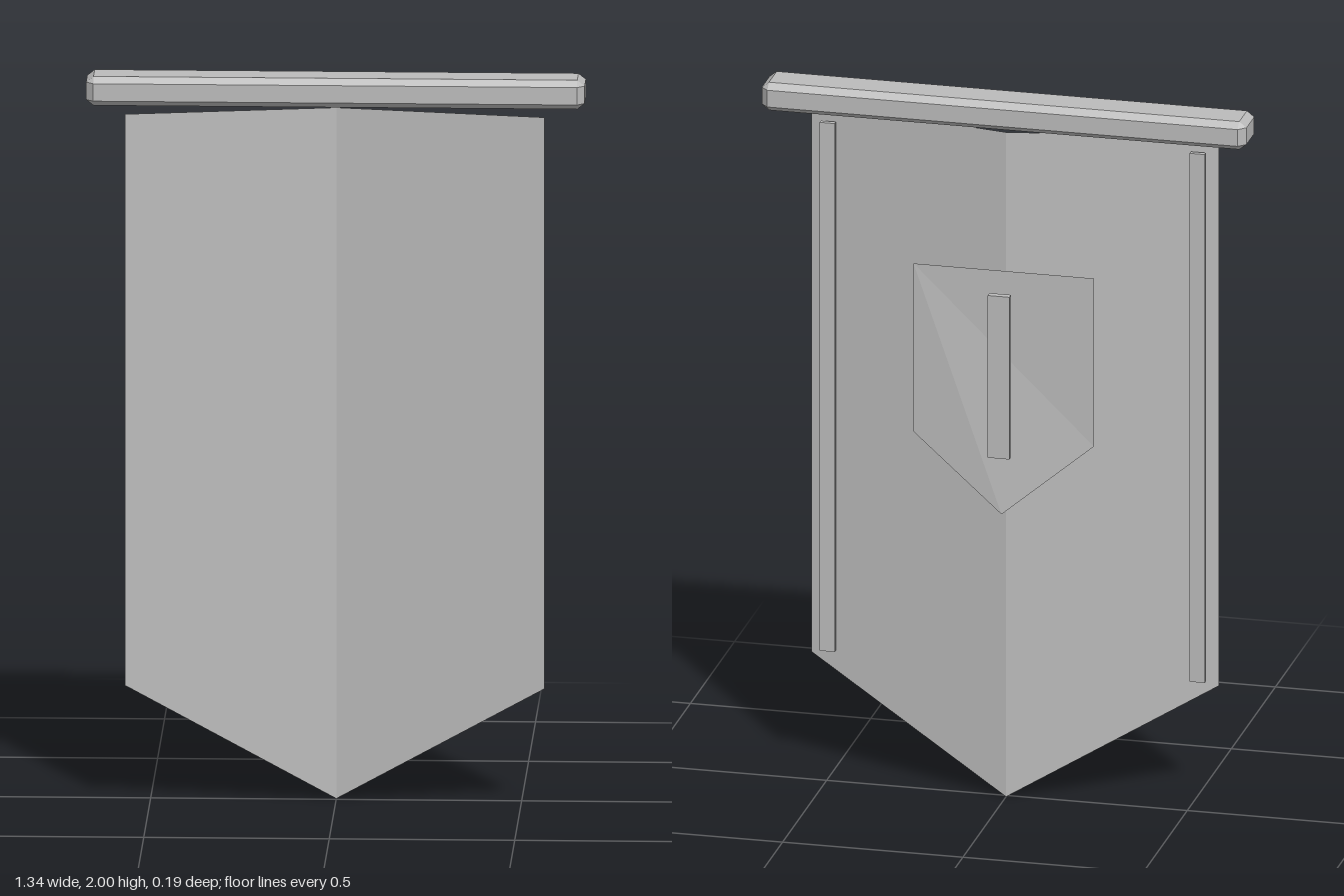
import * as THREE from 'three';
import { ConvexGeometry } from 'three/addons/geometries/ConvexGeometry.js';

const grey = new THREE.MeshStandardMaterial({ color: 0xbbbbbb, side: THREE.DoubleSide });
grey.name = 'plain grey';

function add(group, name, geometry, x = 0, y = 0, z = 0) {
  const mesh = new THREE.Mesh(geometry, grey);
  mesh.name = name;
  mesh.position.set(x, y, z);
  group.add(mesh);
}

// Flat-shaded sheet from a list of triangles, each three [x, y, z] corners
function sheet(triangles) {
  const g = new THREE.BufferGeometry();
  g.setAttribute('position', new THREE.Float32BufferAttribute(triangles.flat(2), 3));
  g.computeVertexNormals();
  return g;
}

// Box with every edge and corner chamfered
function chamferedBox(w, h, d, bx, by, bz) {
  const points = [];
  for (const sx of [-1, 1]) for (const sy of [-1, 1]) for (const sz of [-1, 1]) {
    const x = w / 2, y = h / 2, z = d / 2;
    points.push(
      new THREE.Vector3(sx * x, sy * (y - by), sz * (z - bz)),
      new THREE.Vector3(sx * (x - bx), sy * y, sz * (z - bz)),
      new THREE.Vector3(sx * (x - bx), sy * (y - by), sz * z));
  }
  return new ConvexGeometry(points);
}

export function createModel() {
  const banner = new THREE.Group();
  banner.name = 'banner';

  // Top rail
  add(banner, 'topRail', chamferedBox(1.344, 0.08, 0.128, 0.02, 0.016, 0.02), 0, 1.96, 0.012);

  // Cloth folded along its middle, with a pointed hem
  const top = [0, 1.905, -0.01], tip = [0, 0, -0.01];
  const cloth = [];
  for (const s of [-1, 1]) {
    const upper = [s * 0.565, 1.905, 0.095], lower = [s * 0.565, 0.33, 0.095];
    cloth.push(...(s > 0
      ? [[top, tip, lower], [top, lower, upper]]
      : [[top, lower, tip], [top, upper, lower]]));
  }
  add(banner, 'cloth', sheet(cloth));

  // Edge strips behind the cloth
  for (const s of [-1, 1]) {
    add(banner, s > 0 ? 'leftEdgeStrip' : 'rightEdgeStrip',
      new THREE.BoxGeometry(0.042, 1.515, 0.014), s * 0.513, 1.105, 0.067);
  }

  // Shield-shaped panel on the back, fanned from its upper corner
  const a = [0.25, 1.517, -0.037], b = [-0.25, 1.517, -0.037];
  const c = [-0.25, 1.035, -0.037], d = [0, 0.828, -0.062], e = [0.25, 1.035, -0.037];
  add(banner, 'shield', sheet([[a, c, b], [a, d, c], [a, e, d]]));

  // Upright bar in front of the shield
  add(banner, 'shieldBar', new THREE.BoxGeometry(0.06, 0.465, 0.02), 0, 1.232, -0.085);

  return banner;
}
